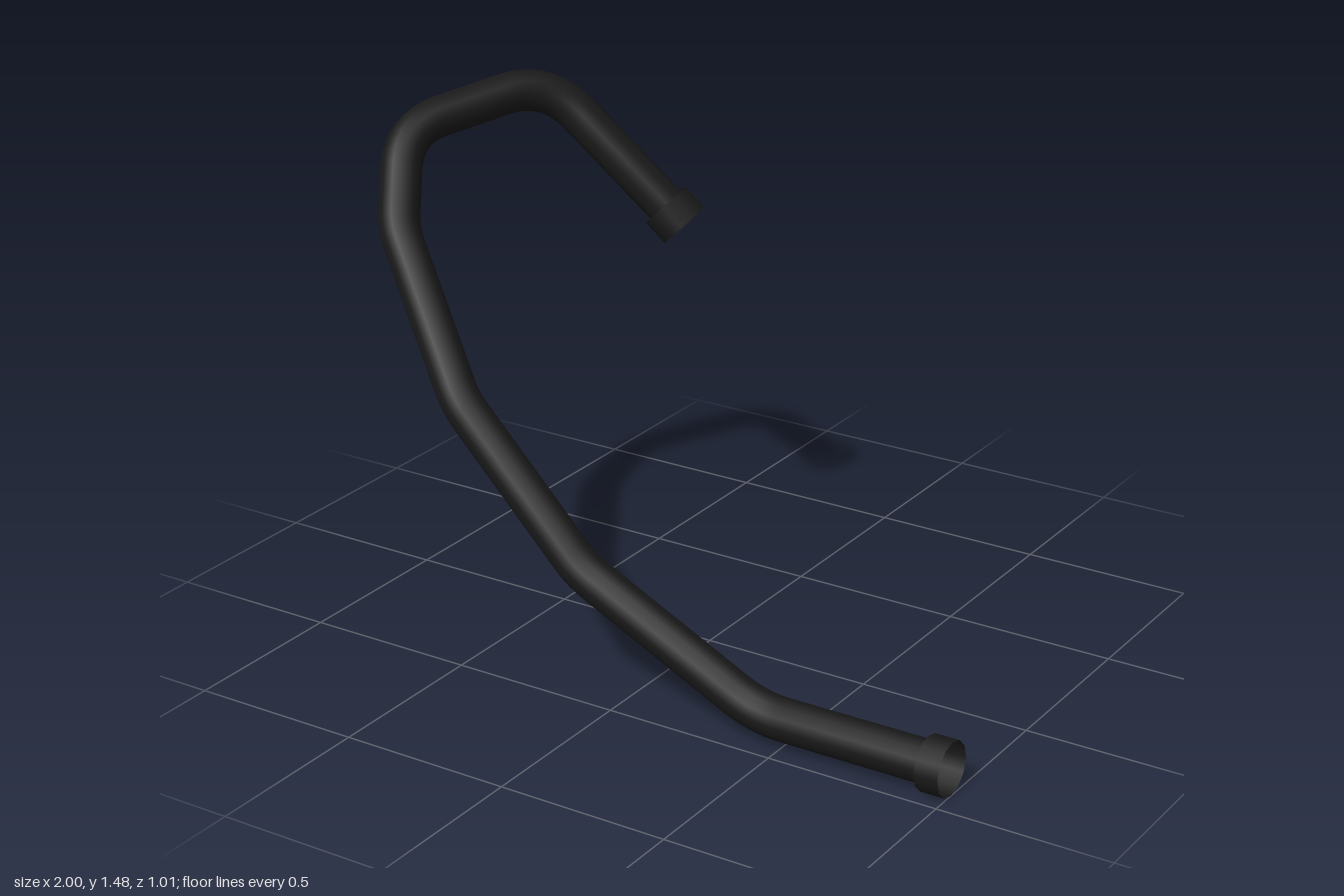
import * as THREE from 'three';

const SIDES = 12;
const v = (x, y, z) => new THREE.Vector3(x, y, z);

// Straight runs joined by rounded bends; each corner has a fillet length
function bentPath(corners) {
  const path = new THREE.CurvePath();
  let from = corners[0].p;
  for (let i = 1; i < corners.length - 1; i++) {
    const { p, r } = corners[i];
    const enter = p.clone().add(corners[i - 1].p.clone().sub(p).setLength(r));
    const leave = p.clone().add(corners[i + 1].p.clone().sub(p).setLength(r));
    path.add(new THREE.LineCurve3(from, enter));
    path.add(new THREE.QuadraticBezierCurve3(enter, p, leave));
    from = leave;
  }
  path.add(new THREE.LineCurve3(from, corners[corners.length - 1].p));
  return path;
}

// Thin open sleeve reaching from the hose end outwards
function makeCollar(name, start, end, material) {
  const axis = end.clone().sub(start);
  const geometry = new THREE.CylinderGeometry(0.077, 0.077, axis.length(), SIDES, 1, true);
  const collar = new THREE.Mesh(geometry, material);
  collar.name = name;
  collar.position.copy(start).add(end).multiplyScalar(0.5);
  collar.quaternion.setFromUnitVectors(v(0, 1, 0), axis.normalize());
  return collar;
}

export function createModel() {
  const group = new THREE.Group();
  group.name = 'hose';
  const rubber = new THREE.MeshStandardMaterial({ color: 0x1a1a1a, side: THREE.DoubleSide });

  const lowerEnd = v(0.93, 0.078, 0.42);
  const upperEnd = v(-0.418, 1.103, -0.42);

  // Hose
  const path = bentPath([
    { p: lowerEnd },
    { p: v(0.42, 0.078, 0.42), r: 0.08 },
    { p: v(-0.13, 0.362, 0.438), r: 0.045 },
    { p: v(-0.55, 0.745, 0.4), r: 0.045 },
    { p: v(-0.87, 1.14, 0.237), r: 0.045 },
    { p: v(-0.967, 1.367, 0.076), r: 0.12 },
    { p: v(-0.755, 1.445, -0.32), r: 0.14 },
    { p: upperEnd },
  ]);
  const hose = new THREE.Mesh(new THREE.TubeGeometry(path, 140, 0.059, SIDES), rubber);
  hose.name = 'hoseTube';
  group.add(hose);

  // End collars
  group.add(makeCollar('lowerCollar', lowerEnd, v(1, 0.078, 0.42), rubber));
  group.add(makeCollar('upperCollar', upperEnd, v(-0.365, 1.047, -0.436), rubber));

  return group;
}
